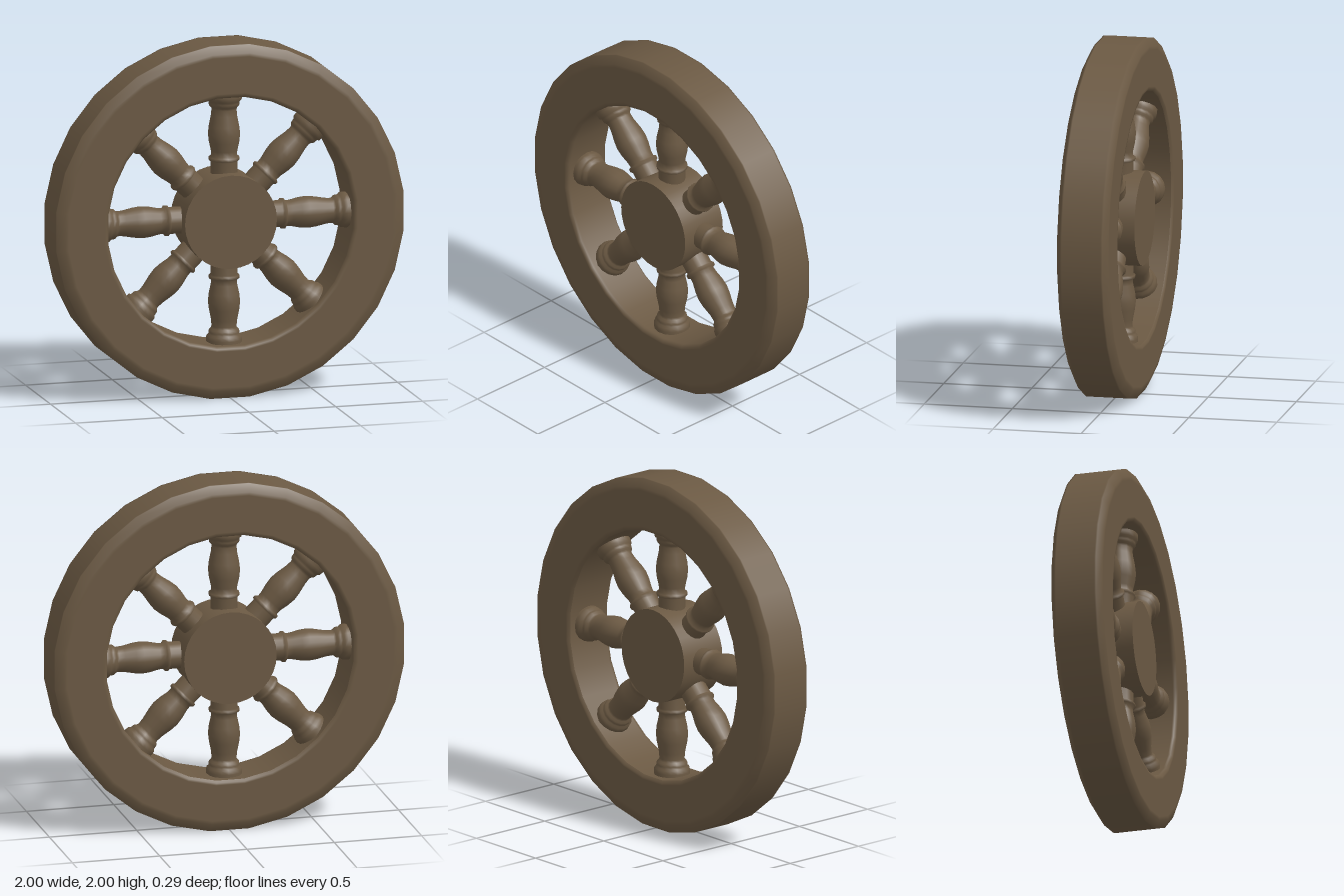
import * as THREE from 'three';

const RIM_SIDES = 28;
const SPOKES = 8;

const profile = (pairs) => pairs.map(([r, y]) => new THREE.Vector2(r, y));

export function createModel() {
  const wheel = new THREE.Group();
  wheel.name = 'wheel';
  wheel.position.y = 1;

  const wood = new THREE.MeshStandardMaterial({ color: 0x6b5943 });
  wood.name = 'brown wood';

  const add = (name, geometry, parent = wheel) => {
    const mesh = new THREE.Mesh(geometry, wood);
    mesh.name = name;
    parent.add(mesh);
    return mesh;
  };

  // Rim: closed bevelled section, with support loops that keep the broad faces flat
  const k = 1 / Math.cos(Math.PI / RIM_SIDES); // flats touch the outer radius
  const half = [
    [1, 0], [1, 0.11], [1, 0.12], [0.955, 0.145], [0.935, 0.145],
    [0.735, 0.145], [0.722, 0.145], [0.71, 0.133], [0.71, 0.12], [0.71, 0],
  ].map(([r, y]) => [r > 0.9 ? r * k : r, y]);
  const lower = half.slice(0, -1).reverse().map(([r, y]) => [r, -y]);
  const section = [...half, [0.71, -0.12], ...lower.slice(1)];
  section.splice(half.length, 1, [0.71, -0.12], [0.71, -0.133]);
  const rim = new THREE.LatheGeometry(profile(section), RIM_SIDES, Math.PI / RIM_SIDES);
  rim.rotateX(Math.PI / 2);
  add('rim', rim);

  // Hub: plain round block
  const hub = new THREE.CylinderGeometry(0.265, 0.265, 0.28, 32);
  hub.rotateX(Math.PI / 2);
  add('hub', hub);

  // Spokes: turned balusters running from inside the hub into the rim
  const spoke = new THREE.LatheGeometry(profile([
    [0.076, 0.2], [0.076, 0.32], [0.086, 0.328], [0.086, 0.343], [0.072, 0.352],
    [0.074, 0.38], [0.085, 0.43], [0.09, 0.475], [0.085, 0.52], [0.073, 0.58],
    [0.07, 0.615], [0.074, 0.628], [0.084, 0.636], [0.087, 0.65], [0.088, 0.662],
    [0.098, 0.67], [0.101, 0.69], [0.101, 0.74],
  ]), 16);
  const spokes = new THREE.Group();
  spokes.name = 'spokes';
  wheel.add(spokes);
  for (let i = 0; i < SPOKES; i++) {
    add('spoke', spoke, spokes).rotation.z = (i / SPOKES) * Math.PI * 2;
  }

  const model = new THREE.Group();
  model.name = 'spokedWheel';
  model.add(wheel);
  return model;
}
